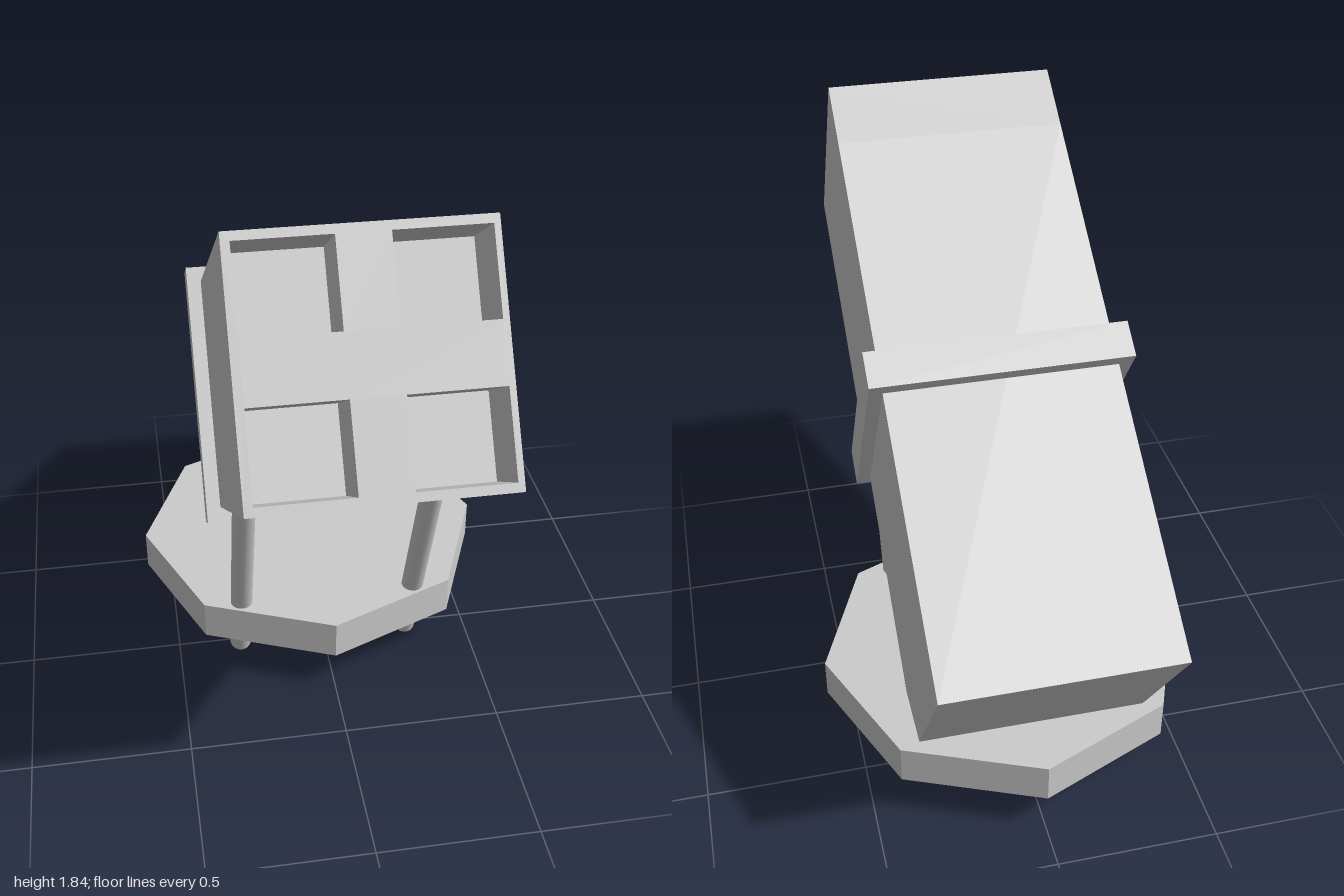
import * as THREE from 'three';

const grey = new THREE.MeshStandardMaterial({ color: 0xcccccc, flatShading: true });
const smoothGrey = new THREE.MeshStandardMaterial({ color: 0xcccccc });

function addMesh(parent, name, geometry, material = grey) {
  const mesh = new THREE.Mesh(geometry, material);
  mesh.name = name;
  parent.add(mesh);
  return mesh;
}

// Counter-clockwise corners of a rectangle, used for outlines and openings
function rectangle(target, x0, y0, x1, y1) {
  target.moveTo(x0, y0);
  target.lineTo(x1, y0);
  target.lineTo(x1, y1);
  target.lineTo(x0, y1);
  target.closePath();
  return target;
}

export function createModel() {
  const model = new THREE.Group();
  model.name = 'launcher';

  // Octagonal base plate
  const base = addMesh(model, 'basePlate', new THREE.CylinderGeometry(0.585, 0.585, 0.128, 8));
  base.position.set(0, 0.212, -0.285);

  // Tilted box; its local +z points out of the front openings
  const launchBox = new THREE.Group();
  launchBox.name = 'launchBox';
  launchBox.position.set(0, 1.01, 0);
  launchBox.rotation.x = -0.591;
  model.add(launchBox);

  const width = 0.705, height = 0.7, half = 0.972, recess = 0.206;
  const bodyLength = 2 * half - recess;
  const body = addMesh(launchBox, 'body', new THREE.BoxGeometry(width, height, bodyLength));
  body.position.z = -recess / 2;

  // Front section with four square recesses, closed behind by the body
  const face = rectangle(new THREE.Shape(), -width / 2, -height / 2, width / 2, height / 2);
  for (const x of [-0.328, 0.075]) {
    for (const y of [-0.325, 0.084]) {
      face.holes.push(rectangle(new THREE.Path(), x, y, x + 0.26, y + 0.241));
    }
  }
  const front = addMesh(launchBox, 'recessedFront',
    new THREE.ExtrudeGeometry(face, { depth: recess, bevelEnabled: false }));
  front.position.z = half - recess;

  // Raised band around the middle
  const band = addMesh(launchBox, 'band', new THREE.BoxGeometry(0.79, 0.79, 0.115));
  band.position.z = -0.016;

  // Pair of slanted struts with obliquely cut ends
  const length = 0.94;
  for (const side of [-1, 1]) {
    const geometry = new THREE.CylinderGeometry(0.036, 0.036, length, 20);
    geometry.translate(0, length / 2, 0);
    const p = geometry.attributes.position;
    for (let i = 0; i < p.count; i++) p.setY(i, p.getY(i) - 0.22 * p.getZ(i));
    const strut = addMesh(model, side > 0 ? 'leftStrut' : 'rightStrut', geometry, smoothGrey);
    strut.position.set(side * 0.29, 0.025, 0.03);
    strut.rotation.x = 0.369;
  }

  return model;
}
